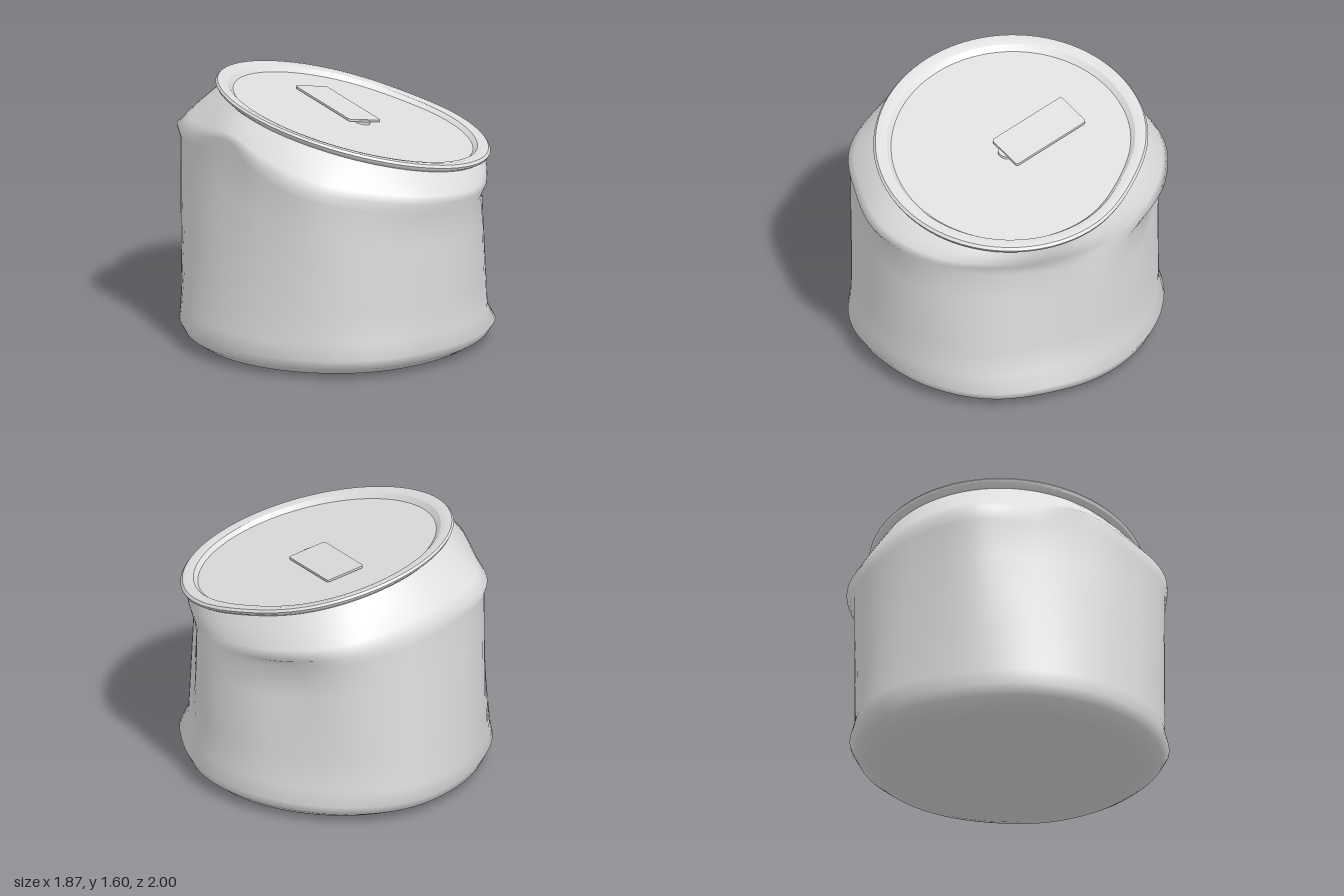
import * as THREE from 'three';
import { toCreasedNormals } from 'three/addons/utils/BufferGeometryUtils.js';

const N = 96;
const CX = 0.11, CZ = 0.047; // centre of the tilted rim
const FLAT = 0.785; // radius of the flat base
const plane = (x, z) => 1.39 - 0.21 * (x - CX) - 0.148 * (z - CZ);

// smooth periodic interpolation of a table spread evenly round the can
function around(table, a) {
  const n = table.length, f = (a / (Math.PI * 2)) * n, i = Math.floor(f), t = f - i;
  const p = k => table[(i + k + n) % n];
  const [p0, p1, p2, p3] = [p(-1), p(0), p(1), p(2)];
  return p1 + 0.5 * t * (p2 - p0 + t * (2 * p0 - 5 * p1 + 4 * p2 - p3 + t * (3 * (p1 - p2) + p3 - p0)));
}

// tables start at +x and run towards +z in 22.5 degree steps
const creaseR = [0.9, 0.87, 0.93, 0.985, 1.0, 0.95, 0.95, 0.87, 0.81, 0.84, 0.955, 0.935, 0.935, 0.985, 0.965, 0.92];
const creaseY = [1.0, 0.99, 1.02, 1.03, 1.07, 1.12, 1.19, 1.28, 1.38, 1.32, 1.29, 1.26, 1.2, 1.14, 1.08, 1.03];
const underR = [0.908, 0.85, 0.9, 0.955, 0.955, 0.93, 0.938, 0.855, 0.785, 0.82, 0.935, 0.928, 0.935, 0.95, 0.87, 0.885];
const lowR = [0.9, 0.875, 0.935, 0.945, 0.937, 0.935, 0.935, 0.93, 0.925, 0.925, 0.925, 0.95, 0.985, 0.945, 0.91, 0.9];
const baseR = [0.93, 0.935, 0.98, 0.97, 0.95, 0.965, 0.95, 0.94, 0.94, 0.94, 0.93, 0.955, 0.995, 0.975, 0.94, 0.925];

const polar = (r, y, a) => new THREE.Vector3(r * Math.cos(a), y, r * Math.sin(a));

// point on the tilted, slightly oval rim, with a shallow dent on one side
function rimPoint(r, dy, a) {
  const d = Math.atan2(Math.sin(a + 0.5), Math.cos(a + 0.5));
  const s = r * (1 - 0.045 * Math.exp(-d * d * 6));
  const x = CX + s * Math.cos(a), z = CZ + 1.03 * s * Math.sin(a);
  return new THREE.Vector3(x, plane(x, z) + dy, z);
}

// skin a list of rings, each a function of angle
function loft(rings) {
  const pos = [], idx = [];
  rings.forEach((ring, j) => {
    for (let i = 0; i < N; i++) {
      pos.push(...ring((i / N) * Math.PI * 2).toArray());
      if (j === rings.length - 1) continue;
      const a = j * N + i, b = j * N + (i + 1) % N;
      idx.push(a, a + N, b, b, a + N, b + N);
    }
  });
  const g = new THREE.BufferGeometry();
  g.setAttribute('position', new THREE.Float32BufferAttribute(pos, 3));
  g.setIndex(idx);
  g.computeVertexNormals();
  return g;
}

export function createModel() {
  const group = new THREE.Group();
  const metal = new THREE.MeshStandardMaterial({ color: 0xdedede });
  metal.name = 'aluminium grey';
  const add = (name, geometry) => {
    const mesh = new THREE.Mesh(geometry, metal);
    mesh.name = name;
    group.add(mesh);
  };

  // crumpled wall: rounded foot, straight dented side, folded crease, shoulder
  const rings = [[0, 0], [0.4, 0.018], [0.78, 0.06], [1, 0.125]]
    .map(([t, y]) => a => polar(FLAT + (around(baseR, a) - FLAT) * t, y, a));
  const low = a => polar(around(lowR, a), 0.22, a);
  const under = a => polar(around(underR, a), around(creaseY, a) - 0.07, a);
  const crease = a => polar(around(creaseR, a), around(creaseY, a), a);
  const neck = a => rimPoint(0.785, -0.055, a);
  for (const t of [0, 0.25, 0.5, 0.75, 1]) rings.push(a => low(a).lerp(under(a), t));
  rings.push(crease);
  for (const t of [0.25, 0.5, 0.75, 1]) {
    rings.push(a => crease(a).lerp(neck(a), t).add(polar(0.01 * Math.sin(Math.PI * t), 0, a)));
  }
  add('canWall', loft(rings));

  // flat base
  add('base', loft([a => polar(0, 0, a), a => polar(FLAT, 0, a)]));

  // rolled rim and recessed lid
  const rim = [[0.785, -0.055], [0.812, -0.035], [0.82, -0.018], [0.808, -0.003], [0.782, 0],
    [0.742, -0.01], [0.715, -0.037]];
  add('rim', toCreasedNormals(loft(rim.map(([r, y]) => a => rimPoint(r, y, a))), 0.4));
  add('lid', loft([a => rimPoint(0.715, -0.037, a), a => rimPoint(0, -0.037, a)]));

  // slab on the tilted lid, from a shape drawn in x and -z
  const slab = (name, shape, lift, depth) => {
    const g = new THREE.ExtrudeGeometry(shape, { depth, bevelEnabled: false, curveSegments: 12 });
    g.rotateX(-Math.PI / 2);
    const p = g.attributes.position;
    for (let i = 0; i < p.count; i++) p.setY(i, p.getY(i) + lift + plane(p.getX(i), p.getZ(i)));
    g.computeVertexNormals();
    add(name, g);
  };

  // pull tab with rounded corners, and the rivet below its front edge
  const x0 = 0.02, x1 = 0.26, y0 = -0.13, y1 = 0.41, c = 0.02;
  const tab = new THREE.Shape();
  tab.moveTo(x0 + c, y0);
  tab.lineTo(x1 - c, y0);
  tab.quadraticCurveTo(x1, y0, x1, y0 + c);
  tab.lineTo(x1, y1 - c);
  tab.quadraticCurveTo(x1, y1, x1 - c, y1);
  tab.lineTo(x0 + c, y1);
  tab.quadraticCurveTo(x0, y1, x0, y1 - c);
  tab.lineTo(x0, y0 + c);
  tab.quadraticCurveTo(x0, y0, x0 + c, y0);
  slab('pullTab', tab, -0.027, 0.014);
  slab('rivet', new THREE.Shape().absarc(0.13, -0.105, 0.05, 0, Math.PI * 2), -0.04, 0.018);

  return group;
}
